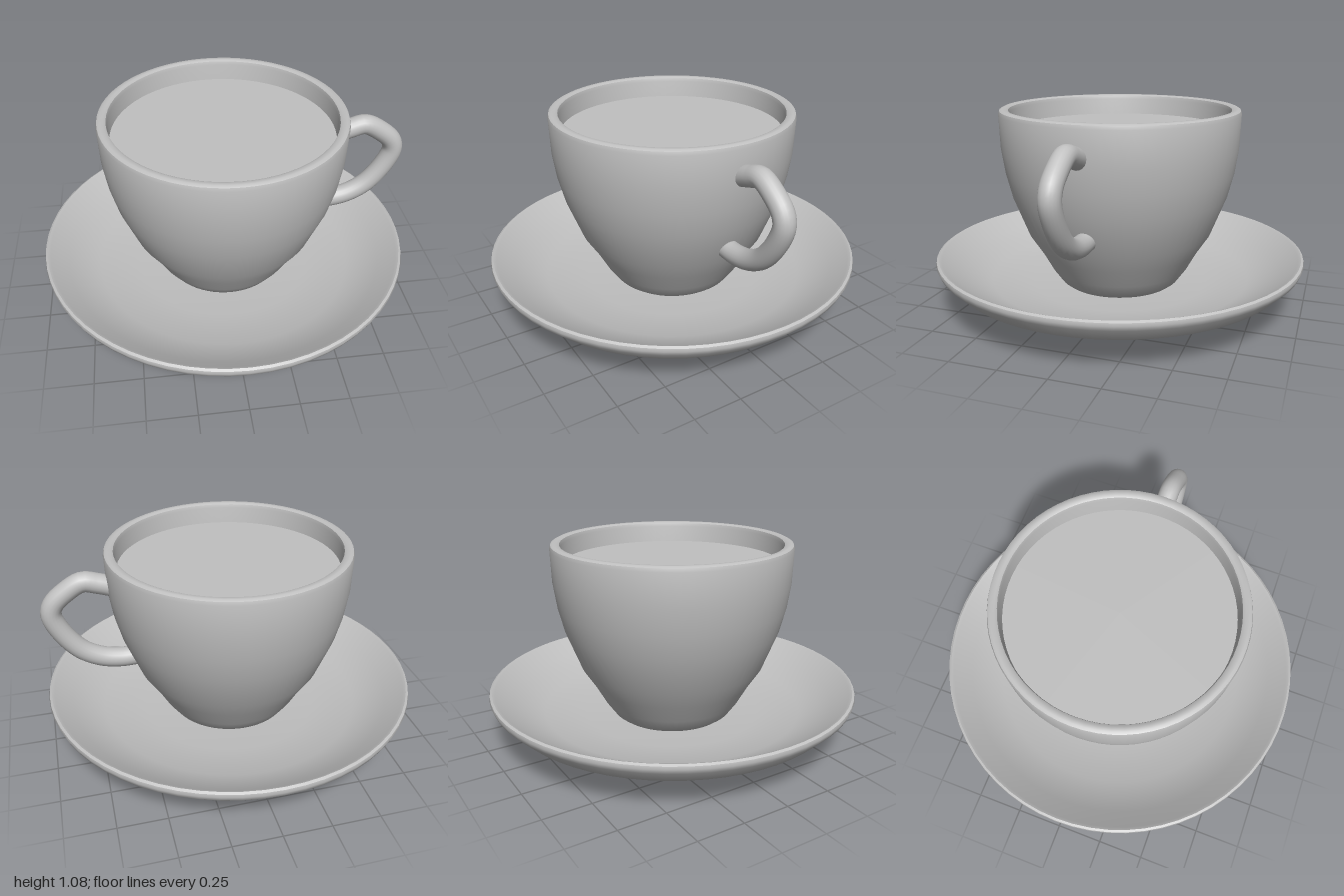
import * as THREE from 'three';
import { toCreasedNormals } from 'three/addons/utils/BufferGeometryUtils.js';

const porcelain = new THREE.MeshStandardMaterial({ color: 0xc0c0c0 });
porcelain.name = 'grey porcelain';

// Turned part from [radius, height] pairs, running up the outside and down the inside
function turned(name, profile) {
  const points = profile.map(([r, y]) => new THREE.Vector2(r, y));
  const geometry = toCreasedNormals(new THREE.LatheGeometry(points, 64), 0.7);
  const mesh = new THREE.Mesh(geometry, porcelain);
  mesh.name = name;
  return mesh;
}

export function createModel() {
  const model = new THREE.Group();
  model.name = 'cupAndSaucer';

  // Shallow saucer with a flat foot and a thin rounded lip
  model.add(turned('saucer', [
    [0, 0], [0.46, 0], [0.5, 0.018], [0.72, 0.075], [0.91, 0.17],
    [0.99, 0.25], [1, 0.275], [0.997, 0.29], [0.985, 0.297], [0.97, 0.29],
    [0.88, 0.215], [0.71, 0.145], [0.48, 0.11], [0, 0.11],
  ]));

  // Hollow cup with a rounded rim
  model.add(turned('cup', [
    [0, 0.1], [0.29, 0.1], [0.33, 0.13], [0.38, 0.2], [0.435, 0.3],
    [0.5, 0.4], [0.582, 0.61], [0.615, 0.74], [0.634, 0.87], [0.64, 1.05],
    [0.635, 1.068], [0.622, 1.075], [0.602, 1.075], [0.589, 1.068], [0.584, 1.05],
    [0.578, 0.87], [0.53, 0.61], [0.45, 0.4], [0.33, 0.2], [0, 0.17],
  ]));

  // Drink filling the cup just below the rim
  const drink = new THREE.Mesh(new THREE.CircleGeometry(0.582, 64), porcelain);
  drink.name = 'drink';
  drink.rotation.x = -Math.PI / 2;
  drink.position.y = 0.96;
  model.add(drink);

  // Ear-shaped handle on the left side
  const path = new THREE.CatmullRomCurve3([
    [0.605, 0.905], [0.68, 0.93], [0.755, 0.947], [0.845, 0.9], [0.91, 0.84],
    [0.926, 0.785], [0.89, 0.685], [0.8, 0.565], [0.7, 0.505], [0.6, 0.483], [0.51, 0.483],
  ].map(([x, y]) => new THREE.Vector3(x, y, 0)));
  const handle = new THREE.Mesh(new THREE.TubeGeometry(path, 48, 0.053, 20), porcelain);
  handle.name = 'handle';
  model.add(handle);

  return model;
}
